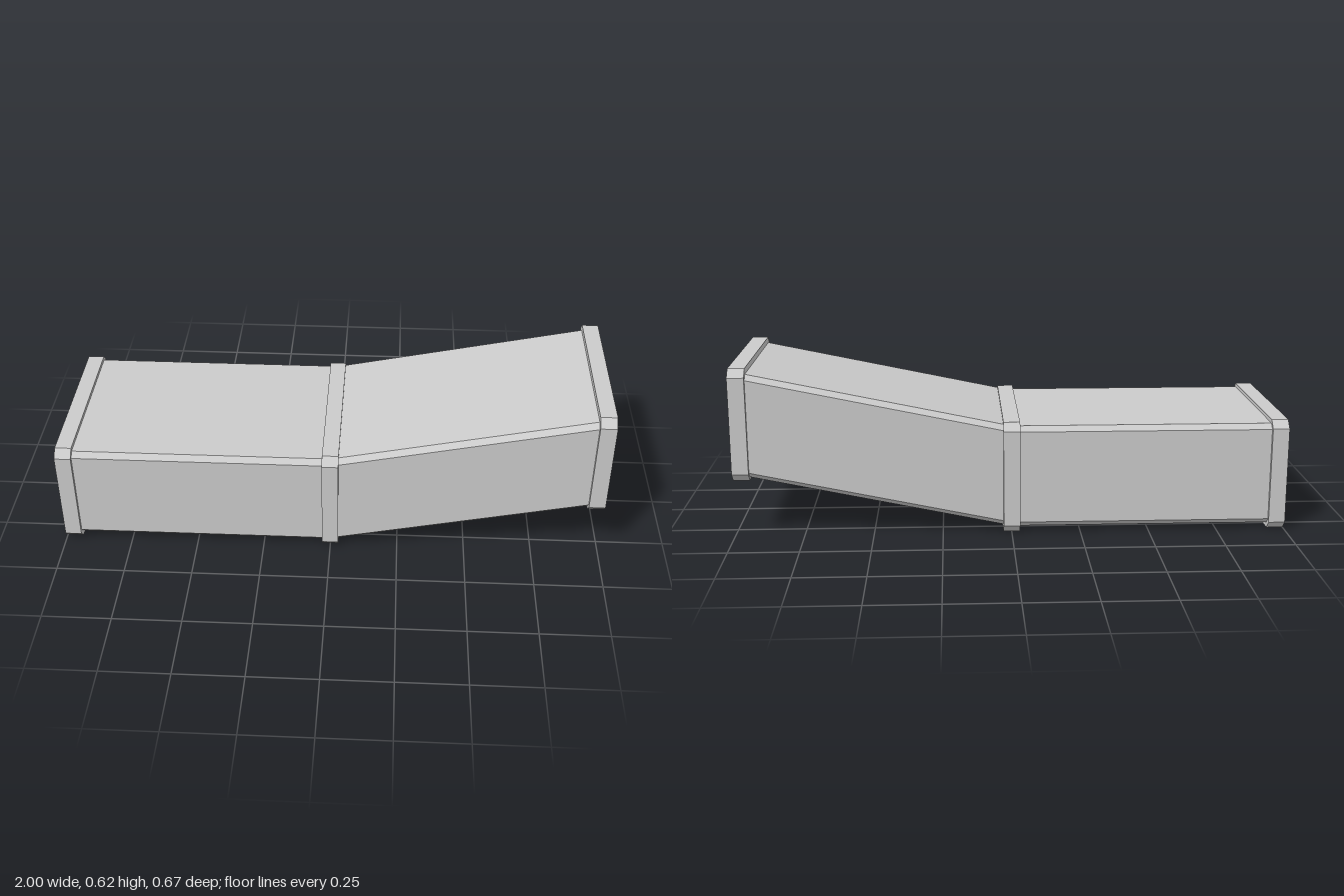
import * as THREE from 'three';

const metal = new THREE.MeshStandardMaterial({ color: 0xcccccc, flatShading: true });
const dark = new THREE.MeshStandardMaterial({ color: 0x444444 });

// Rectangle with cut corners in the z-y plane, counter-clockwise seen from +x
function ring([x, yc, hy, hz, c]) {
  return [
    [-hz, -hy + c], [-hz, hy - c], [-hz + c, hy], [hz - c, hy],
    [hz, hy - c], [hz, -hy + c], [hz - c, -hy], [-hz + c, -hy],
  ].map(([z, y]) => new THREE.Vector3(x, yc + y, z));
}

// Skin a list of sections [x, centreY, halfHeight, halfWidth, cornerCut]
function loft(name, sections) {
  const rings = sections.map(ring);
  const points = [];
  const addTriangle = (a, b, c) => {
    if (new THREE.Triangle(a, b, c).getArea() > 1e-7) points.push(a, b, c);
  };
  for (let i = 0; i < rings.length - 1; i++) {
    for (let j = 0; j < 8; j++) {
      const k = (j + 1) % 8;
      const [a, b, c, d] = [rings[i][j], rings[i][k], rings[i + 1][k], rings[i + 1][j]];
      addTriangle(a, b, c);
      addTriangle(a, c, d);
    }
  }
  const geometry = new THREE.BufferGeometry().setFromPoints(points);
  geometry.computeVertexNormals();
  const mesh = new THREE.Mesh(geometry, metal);
  mesh.name = name;
  return mesh;
}

// End collar with a tapered recess closed by a dark panel; side is +1 or -1
function endCollar(name, side, yc) {
  const group = new THREE.Group();
  group.name = name;
  const sections = [
    [0.94 * side, yc, 0.165, 0.3, 0],
    [0.94 * side, yc, 0.205, 0.335, 0.029],
    [side, yc, 0.205, 0.335, 0.029],
    [side, yc, 0.157, 0.29, 0],
    [0.965 * side, yc, 0.1435, 0.262, 0],
  ];
  if (side < 0) sections.reverse();
  group.add(loft('collarFrame', sections));

  const panel = new THREE.Mesh(new THREE.PlaneGeometry(0.524, 0.287), dark);
  panel.name = 'openingPanel';
  panel.rotation.y = side * Math.PI / 2;
  panel.position.set(0.965 * side, yc, 0);
  group.add(panel);
  return group;
}

export function createModel() {
  const model = new THREE.Group();
  model.name = 'ventDuct';

  // Level run and rising run
  const bodyY = 0.208;
  const slope = 0.21;
  const body = (x, rise) => [x, bodyY + rise, 0.188, 0.323, 0.019];
  model.add(loft('levelDuct', [body(-0.95, 0), body(0, 0)]));
  model.add(loft('risingDuct', [body(0, 0), body(0.95, 0.95 * slope)]));

  // Band covering the joint
  model.add(loft('middleCollar', [
    [-0.03, 0.205, 0.165, 0.3, 0],
    [-0.03, 0.205, 0.205, 0.335, 0.029],
    [0.03, 0.205, 0.205, 0.335, 0.029],
    [0.03, 0.205, 0.165, 0.3, 0],
  ]));

  // Open ends
  model.add(endCollar('lowerEnd', -1, 0.205));
  model.add(endCollar('upperEnd', 1, 0.41));
  return model;
}
